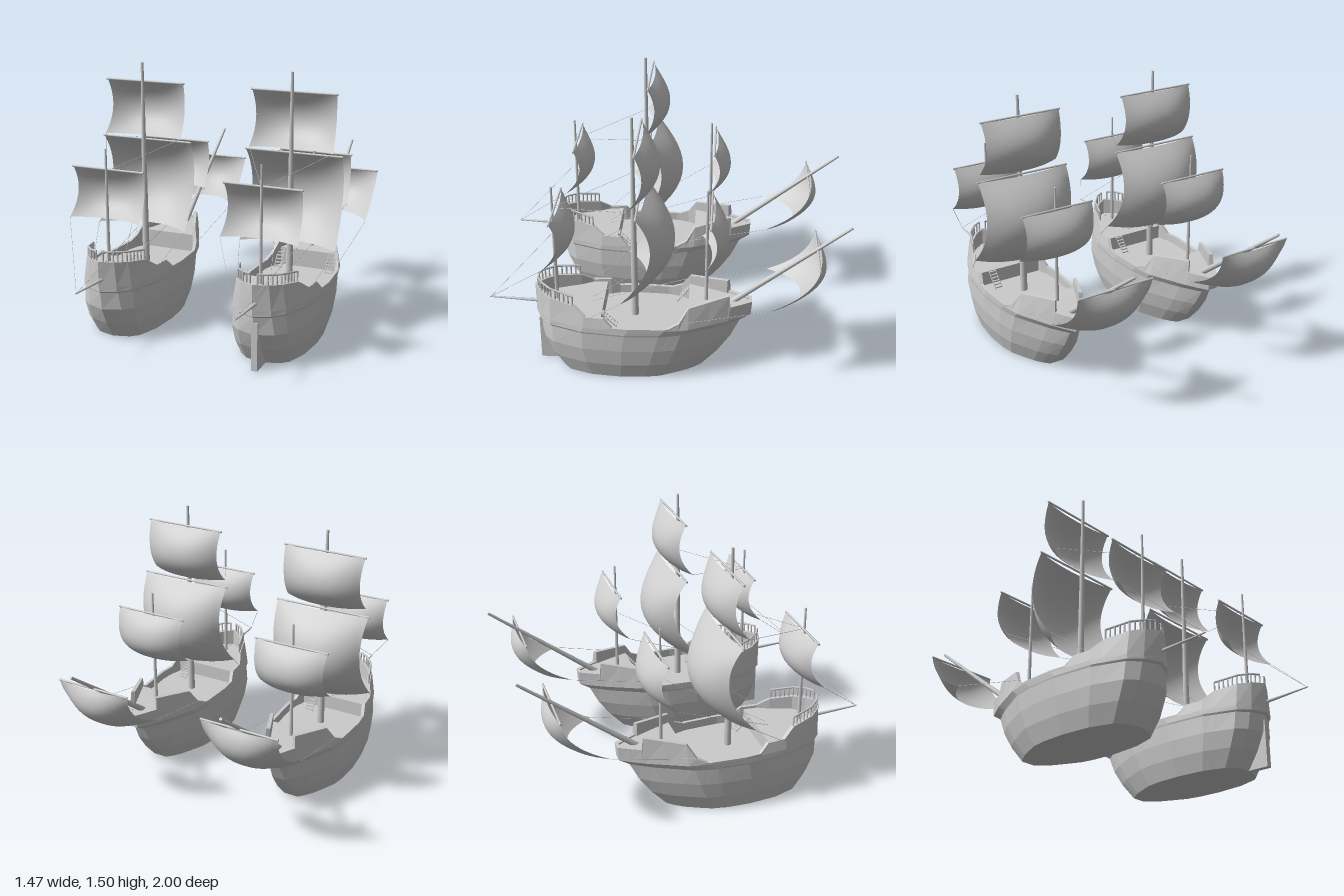
import * as THREE from 'three';

const hullMat = new THREE.MeshStandardMaterial({ color: 0xcccccc, flatShading: true });
const woodMat = new THREE.MeshStandardMaterial({ color: 0xcccccc });
const sailMat = new THREE.MeshStandardMaterial({ color: 0xcccccc, side: THREE.DoubleSide });
const V = (x, y, z) => new THREE.Vector3(x, y, z);

// Piecewise linear lookup in [key, value] pairs with falling keys
function lookup(table, k) {
  for (let i = 1; i < table.length; i++) {
    const [a, va] = table[i - 1], [b, vb] = table[i];
    if (k >= b) return va + (vb - va) * Math.min(1, Math.max(0, (a - k) / (a - b)));
  }
  return table[table.length - 1][1];
}

// Top edge height and plan half width, both by z from stern to bow
const SHEER = [[.74, .485], [.51, .45], [.44, .4], [.34, .4], [.29, .35], [-.02, .35],
  [-.08, .38], [-.13, .46], [-.35, .49], [-.357, .42], [-.477, .42]];
const PLAN = [[.74, 0], [.7, .09], [.64, .15], [.45, .215], [.2, .24], [0, .23], [-.13, .205],
  [-.24, .155], [-.35, .105], [-.42, .065], [-.477, .03]];
// Hull levels: height, stern z, bow z, half width, bluntness
const LEVELS = [[0, .605, -.2, .195, .72], [.1, .67, -.29, .225, .78], [.2, .715, -.36, .237, .85],
  [.3, .725, -.41, .238, 1], [.31, .74, -.425, .24, 1], [.337, .74, -.47, .24, 1]];
const STERN = .74, BOW = -.477;

const topWidth = (z) => lookup(PLAN, z) * (1 - Math.max(0, lookup(SHEER, z) - .36) * 1.25);

// Cross-section at station z: outer side, top edge, inner side, deck, then the mirror half
function section(z, deckY, closed) {
  const s = (STERN - z) / (STERN - BOW), f = closed ? 0 : lookup(PLAN, z) / .24;
  const half = LEVELS.map(([y, zs, zb, w, p]) => V(w * Math.pow(f, p), y, zs + (zb - zs) * s));
  half.unshift(V(0, 0, half[0].z));
  const top = lookup(SHEER, z), w = closed ? 0 : topWidth(z);
  const inX = Math.max(0, w - .018), inZ = .13 + (z - .13) * .972;
  half.push(V(w, top, z), V(inX, top, inZ), V(inX, deckY, inZ), V(0, deckY, inZ));
  return half.concat(half.map((p) => V(-p.x, p.y, p.z)).reverse());
}

function hullGeometry() {
  const zs = [...new Set([...SHEER, ...PLAN].map((p) => p[0]))].filter((z) => z !== -.13);
  const stations = zs.map((z) => [z, z > .36 ? .385 : z > -.14 ? .3 : .41]);
  // Doubled stations make the bulkheads where the deck steps
  stations.push([.36, .385], [.36, .3], [-.13, .3], [-.13, .405]);
  stations.sort((a, b) => b[0] - a[0] || (a[0] > 0 ? b[1] - a[1] : a[1] - b[1]));
  const rows = stations.map(([z, d]) => section(z, d, false));
  rows.push(section(BOW, .41, true));
  const n = rows[0].length, pos = [], idx = [];
  rows.forEach((r) => r.forEach((p) => pos.push(p.x, p.y, p.z)));
  for (let i = 0; i < rows.length - 1; i++) {
    for (let j = 0; j < n - 1; j++) {
      const a = i * n + j, c = a + n;
      idx.push(a, c, c + 1, a, c + 1, a + 1);
    }
  }
  const g = new THREE.BufferGeometry();
  g.setAttribute('position', new THREE.Float32BufferAttribute(pos, 3));
  g.setIndex(idx);
  g.computeVertexNormals();
  return g;
}

function add(parent, name, geo, mat = woodMat) {
  const m = new THREE.Mesh(geo, mat);
  m.name = name;
  parent.add(m);
  return m;
}

// Round rod from p (radius r0) to q (radius r1)
function rod(parent, name, p, q, r0, r1 = r0, sides = 8) {
  const d = q.clone().sub(p);
  const m = add(parent, name, new THREE.CylinderGeometry(r1, r0, d.length(), sides));
  m.position.copy(p).addScaledVector(d, .5);
  m.quaternion.setFromUnitVectors(V(0, 1, 0), d.normalize());
}

// Quadratic through three [z, y] points
function through(pts, t, k) {
  const [a, m, b] = pts.map((p) => p[k]);
  return a * (1 - t) * (1 - 2 * t) + m * 4 * t * (1 - t) + b * t * (2 * t - 1);
}

// Billowing sail: profiles of its side edge and of its centre, top to bottom
function sail(parent, name, hw, edge, centre, yardHw) {
  const g = new THREE.PlaneGeometry(2, 1, 20, 14), p = g.attributes.position;
  for (let i = 0; i < p.count; i++) {
    const u = p.getX(i), t = .5 - p.getY(i);
    const b = 1 - Math.pow(Math.abs(u), 2.3);
    const mix = (k) => through(edge, t, k) * (1 - b) + through(centre, t, k) * b;
    p.setXYZ(i, u * hw * (1 - .16 * t * (1 - t)), mix(1), mix(0));
  }
  g.computeVertexNormals();
  add(parent, name, g, sailMat);
  const [z, y] = edge[0];
  rod(parent, name + 'Yard', V(-yardHw, y, z), V(yardHw, y, z), .006);
}

function stairs(parent, x, zLow, zHigh, yLow, yHigh) {
  const g = new THREE.Group();
  g.name = 'stairs';
  for (let i = 0; i < 6; i++) {
    const t = (i + .5) / 6;
    add(g, 'tread', new THREE.BoxGeometry(.042, .006, .011))
      .position.set(x, yLow + (yHigh - yLow) * t, zLow + (zHigh - zLow) * t);
  }
  for (const s of [-1, 1]) {
    rod(g, 'stringer', V(x + s * .021, yLow, zLow), V(x + s * .021, yHigh, zHigh), .003, .003, 4);
  }
  parent.add(g);
}

function sternRail(parent) {
  const g = new THREE.Group();
  g.name = 'sternRail';
  for (const s of [-1, 1]) {
    let last = null;
    for (const z of [.725, .712, .699, .68, .66, .64, .615, .59, .565, .54, .515]) {
      const foot = V(s * Math.max(0, topWidth(z) - .008), lookup(SHEER, z) - .005, z - .006);
      const head = foot.clone().add(V(0, .06, 0));
      rod(g, 'baluster', foot, head, .005, .005, 6);
      if (last) rod(g, 'handrail', last, head, .006, .006, 6);
      last = head;
    }
  }
  parent.add(g);
}

function ship(name) {
  const g = new THREE.Group();
  g.name = name;
  add(g, 'hull', hullGeometry(), hullMat);
  sternRail(g);
  stairs(g, .12, .27, .355, .3, .385);

  // Masts and spars
  rod(g, 'mainMast', V(0, .29, .18), V(0, 1.5, .18), .021, .008, 12);
  rod(g, 'mizzenMast', V(0, .38, .62), V(0, 1.09, .62), .011, .006, 10);
  rod(g, 'foreMast', V(0, .4, -.22), V(0, 1.09, -.22), .011, .006, 10);
  rod(g, 'bowsprit', V(0, .36, -.31), V(0, .89, -.997), .018, .008, 10);
  rod(g, 'sternSpar', V(.015, .378, .68), V(.015, .394, 1), .011, .004);

  // Sails
  sail(g, 'mainCourse', .28, [[.145, 1.05], [.075, .8], [.235, .54]],
    [[.115, 1.05], [-.045, .79], [.115, .535]], .285);
  sail(g, 'mainTopsail', .242, [[.15, 1.388], [.115, 1.22], [.195, 1.075]],
    [[.125, 1.388], [.035, 1.22], [.135, 1.07]], .248);
  for (const [n, dz] of [['mizzenSail', 0], ['foreSail', -.848]]) {
    sail(g, n, .215, [[.605 + dz, .972], [.575 + dz, .825], [.66 + dz, .695]],
      [[.585 + dz, .972], [.507 + dz, .82], [.6 + dz, .69]], .22);
  }
  sail(g, 'spritsail', .225, [[-.82, .745], [-.745, .6], [-.56, .485]],
    [[-.84, .745], [-.863, .615], [-.74, .485]], .225);

  // Rigging from the lower sail corners
  for (const s of [-1, 1]) {
    const ropes = [
      [V(s * .215, .695, .66), V(.015, .394, .995)],
      [V(s * .24, 1.075, .195), V(0, .965, .62)],
      [V(s * .28, .54, .235), V(s * .215, .4, .42)],
      [V(s * .215, .695, -.188), V(s * .02, .39, .42)],
      [V(s * .225, .485, -.56), V(s * .215, .385, -.09)],
    ];
    ropes.forEach(([a, b]) => rod(g, 'rope', a, b, .0013, .0013, 4));
  }
  return g;
}

export function createModel() {
  const model = new THREE.Group();
  model.name = 'twoSailingShips';
  const plain = ship('rightShip'), ruddered = ship('leftShip');
  plain.position.x = -.452;
  ruddered.position.x = .452;

  // Rudder and forward stairs on one ship only
  const blade = new THREE.Shape([[.55, 0], [.725, 0], [.725, .27], [.66, .27]]
    .map(([z, y]) => new THREE.Vector2(-z, y)));
  const rudder = add(ruddered, 'rudder', new THREE.ExtrudeGeometry(blade, { depth: .034, bevelEnabled: false }), hullMat);
  rudder.rotation.y = Math.PI / 2;
  rudder.position.x = -.009;
  for (const s of [-1, 1]) stairs(ruddered, s * .155, -.05, -.13, .3, .405);

  model.add(plain, ruddered);
  return model;
}
